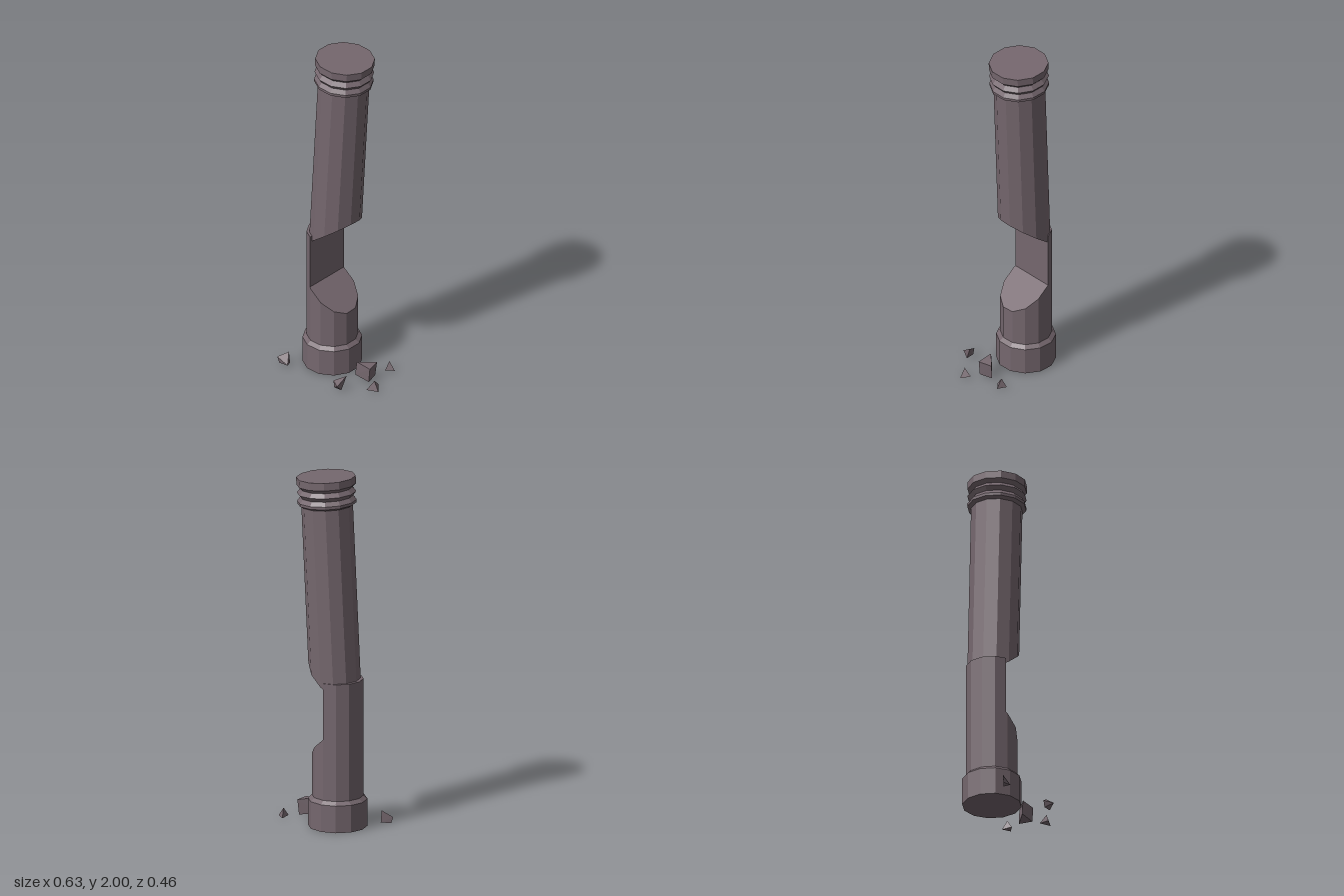
import * as THREE from 'three';
import { ConvexGeometry } from 'three/addons/geometries/ConvexGeometry.js';

const SIDES = 12, R = 0.143, CX = -0.064, CZ = -0.067;
const TILT = 0.052, AXIS_X = -0.089; // leaning upper half

// Distance of a ground point from the upright fracture plane
const fromFracture = (x, z) => (x + 0.06) * 0.949 + (z + 0.205) * 0.316;

// Twelve-sided shaft whose end vertices are moved by bottom/top rules
function cutShaft(bottom, top) {
  const geo = new THREE.CylinderGeometry(R, R, 1, SIDES);
  const p = geo.attributes.position;
  for (let i = 0; i < p.count; i++) {
    p.setY(i, (p.getY(i) < 0 ? bottom : top)(p.getX(i), p.getZ(i)));
  }
  geo.computeVertexNormals();
  return geo;
}

const lathe = (points) =>
  new THREE.LatheGeometry(points.map(([r, y]) => new THREE.Vector2(r, y)), SIDES);

export function createModel() {
  const model = new THREE.Group();
  model.name = 'brokenColumn';
  const stone = new THREE.MeshStandardMaterial({ color: 0x75676e, flatShading: true });
  stone.name = 'mauveStone';

  function add(parent, name, geo, x = 0, y = 0, z = 0) {
    const mesh = new THREE.Mesh(geo, stone);
    mesh.name = name;
    mesh.position.set(x, y, z);
    parent.add(mesh);
    return mesh;
  }

  // Base collar
  add(model, 'base', lathe([[0, 0], [0.165, 0], [0.165, 0.155], [0.143, 0.175], [0, 0.175]]), CX, 0, CZ);

  // Stump with sloping break
  add(model, 'stump', cutShaft(
    () => 0.1,
    (x, z) => 0.52 - 0.8 * fromFracture(x + CX, z + CZ)
  ), CX, 0, CZ);

  // Remaining sliver of the shaft that carries the upper half
  const outline = [[-0.143, -0.05]];
  for (let i = 10; i >= 6; i--) {
    const a = (i * Math.PI * 2) / SIDES;
    outline.push([CX + R * Math.sin(a), -(CZ + R * Math.cos(a))]);
  }
  const shape = new THREE.Shape(outline.map(([x, y]) => new THREE.Vector2(x, y)));
  const sliver = new THREE.ExtrudeGeometry(shape, { depth: 0.745, bevelEnabled: false });
  sliver.rotateX(-Math.PI / 2);
  add(model, 'standingSliver', sliver, 0, 0.1, 0);

  // Leaning upper half
  const upper = new THREE.Group();
  upper.name = 'upperColumn';
  upper.position.set(AXIS_X, 0, CZ);
  upper.rotation.z = -TILT;
  model.add(upper);
  add(upper, 'upperShaft', cutShaft(
    (x, z) => 0.81 + 0.77 * fromFracture(x - 0.043, z + CZ) + x * TILT,
    () => 1.85
  ));
  add(upper, 'ringedTop', lathe([
    [0, 1.83], [0.143, 1.83], [0.164, 1.842], [0.165, 1.858], [0.147, 1.882],
    [0.165, 1.905], [0.145, 1.93], [0.165, 1.95], [0.165, 1.993], [0, 1.993],
  ]));

  // Fallen fragments
  const fragments = [
    [[-0.318, 0.045, 0.105], [-0.258, 0.08, 0.08], [-0.247, 0.015, 0.12], [-0.25, 0.01, 0.082], [-0.305, 0.008, 0.104]],
    [[0.255, 0.005, -0.14], [0.302, 0.008, -0.106], [0.254, 0.01, -0.08], [0.266, 0.058, -0.112]],
    [[0.29, 0.02, 0.072], [0.316, 0.005, 0.126], [0.25, 0.008, 0.14], [0.286, 0.062, 0.114]],
    [[0.07, 0.045, 0.186], [0.142, 0.085, 0.17], [0.113, 0.04, 0.23], [0.075, 0.005, 0.19], [0.125, 0.005, 0.2]],
    [[0.138, 0.1, 0.035], [0.232, 0.09, -0.026], [0.23, 0.09, 0.058], [0.128, 0.015, 0.035], [0.222, 0.004, -0.024], [0.222, 0.004, 0.056]],
  ];
  fragments.forEach((pts, i) => add(model, `fragment${i + 1}`,
    new ConvexGeometry(pts.map((p) => new THREE.Vector3(...p)))));

  return model;
}
